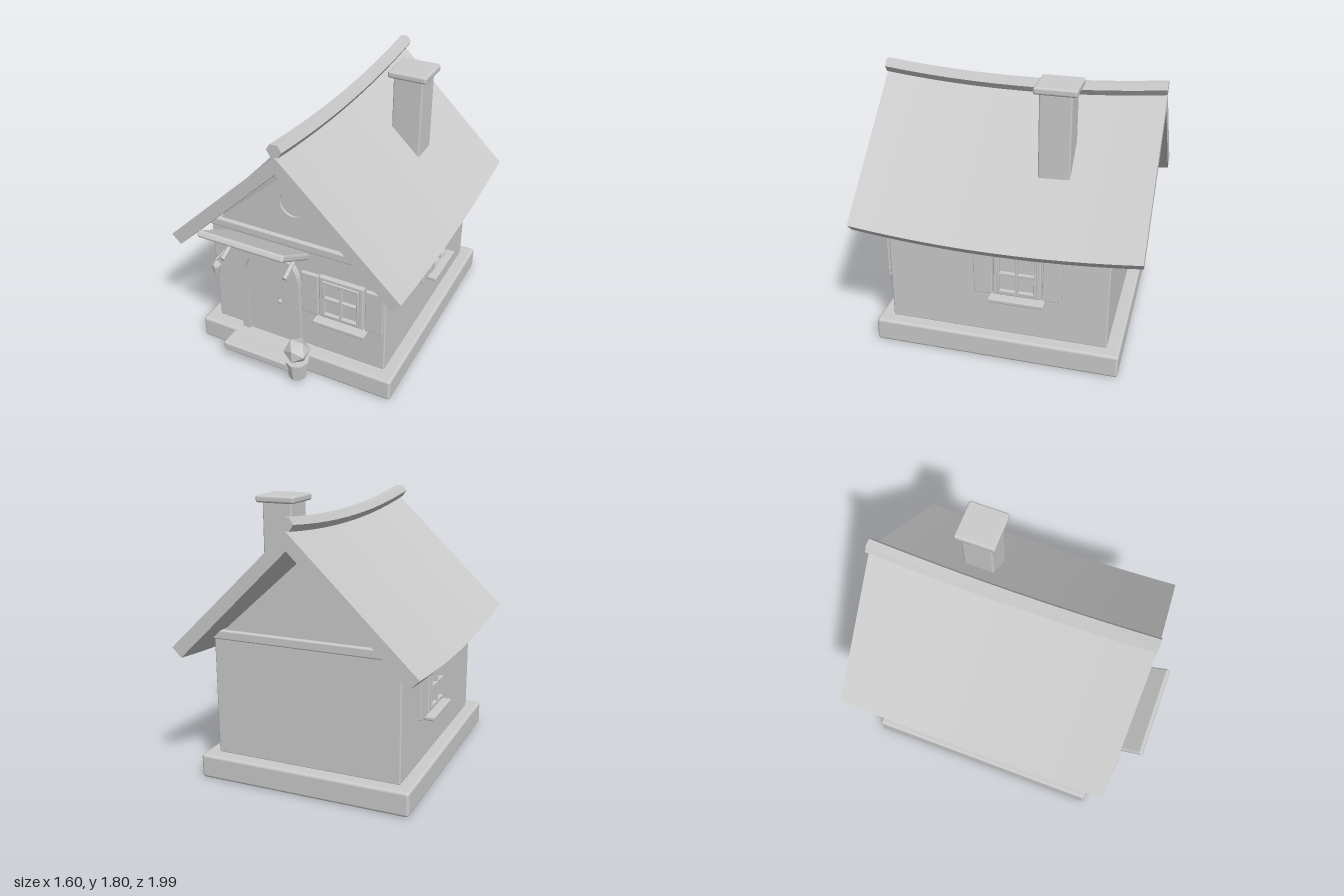
import * as THREE from 'three';
import { RoundedBoxGeometry } from 'three/addons/geometries/RoundedBoxGeometry.js';
import { toCreasedNormals } from 'three/addons/utils/BufferGeometryUtils.js';

const smooth = new THREE.MeshStandardMaterial({ color: 0xcccccc });
const flat = new THREE.MeshStandardMaterial({ color: 0xcccccc, flatShading: true });

function add(parent, name, geometry, x = 0, y = 0, z = 0, material = smooth) {
  const mesh = new THREE.Mesh(geometry, material);
  mesh.name = name;
  mesh.position.set(x, y, z);
  parent.add(mesh);
  return mesh;
}

// Rounded box given by its limits on each axis
function box(parent, name, [x0, x1], [y0, y1], [z0, z1], r = 0.008) {
  const g = new RoundedBoxGeometry(x1 - x0, y1 - y0, z1 - z0, 2, r);
  return add(parent, name, g, (x0 + x1) / 2, (y0 + y1) / 2, (z0 + z1) / 2);
}

function polygon(points) {
  return new THREE.Shape(points.map(([x, y]) => new THREE.Vector2(x, y)));
}

function extrude(shape, depth, steps = 1, curveSegments = 4) {
  return new THREE.ExtrudeGeometry(shape, { depth, steps, curveSegments, bevelEnabled: false });
}

// Roof parts run from back to front and sag in the middle
function sagging(points) {
  const g = extrude(polygon(points), 1.85, 12);
  g.translate(0, 0, -1);
  const p = g.attributes.position;
  for (let i = 0; i < p.count; i++) {
    const t = (p.getZ(i) + 0.075) / 0.925;
    p.setY(i, p.getY(i) + 0.055 * t * t);
  }
  return toCreasedNormals(g, 0.4);
}

// Cylinder between two points
function rod(parent, name, a, b, radius, sides = 8) {
  const from = new THREE.Vector3(...a), to = new THREE.Vector3(...b);
  const dir = to.clone().sub(from);
  const mesh = add(parent, name, new THREE.CylinderGeometry(radius, radius, dir.length(), sides));
  mesh.position.copy(from).add(to).multiplyScalar(0.5);
  mesh.quaternion.setFromUnitVectors(new THREE.Vector3(0, 1, 0), dir.normalize());
  return mesh;
}

// Arched outline standing on y = 0, narrowed by the half width
function arch(half, spring, Path = THREE.Shape) {
  const s = new Path();
  s.moveTo(-half, 0);
  s.lineTo(half, 0);
  s.lineTo(half, spring);
  s.absarc(0, spring, half, 0, Math.PI, false);
  s.lineTo(-half, 0);
  return s;
}

// Window facing +z with its origin on the wall, at the frame's centre
function makeWindow(name) {
  const g = new THREE.Group();
  g.name = name;
  for (const s of [-1, 1]) {
    const span = (a, b) => (s > 0 ? [a, b] : [-b, -a]);
    box(g, 'frameSide', span(0.122, 0.155), [-0.16, 0.16], [-0.01, 0.03]);
    box(g, 'frameRail', [-0.155, 0.155], span(0.13, 0.16), [-0.01, 0.03]);
    box(g, 'sashSide', span(0.112, 0.126), [-0.14, 0.135], [0, 0.04], 0.003);
    box(g, 'sashRail', [-0.125, 0.125], span(0.122, 0.136), [0, 0.04], 0.003);
    box(g, 'shutter', span(0.165, 0.285), [-0.165, 0.148], [-0.01, 0.024], 0.005);
  }
  box(g, 'pane', [-0.125, 0.125], [-0.135, 0.135], [-0.005, 0.015], 0.002);
  box(g, 'uprightBar', [-0.009, 0.009], [-0.13, 0.13], [0, 0.04], 0.003);
  box(g, 'crossBar', [-0.115, 0.115], [-0.009, 0.009], [0, 0.038], 0.003);
  box(g, 'sill', [-0.182, 0.182], [-0.198, -0.17], [-0.01, 0.078]);
  return g;
}

export function createModel() {
  const house = new THREE.Group();
  house.name = 'cottage';

  // Foundation, walls and step
  box(house, 'foundation', [-0.71, 0.71], [0, 0.16], [-0.885, 0.745], 0.02);
  box(house, 'walls', [-0.625, 0.625], [0.155, 0.935], [-0.797, 0.652], 0.01);
  box(house, 'doorStep', [-0.45, 0.06], [0.093, 0.157], [0.6, 0.89], 0.015);

  // Gables with a beam below each
  const gable = extrude(polygon([[-0.62, 0.93], [0.62, 0.93], [0, 1.485]]), 1.43);
  add(house, 'gable', gable, 0, 0, -0.787);
  box(house, 'frontBeam', [-0.635, 0.635], [0.93, 0.99], [0.6, 0.67], 0.01);
  box(house, 'backBeam', [-0.635, 0.635], [0.93, 0.99], [-0.815, -0.745], 0.01);

  // Round attic window
  const ring = new THREE.Shape().absarc(0, 0, 0.125, 0, Math.PI * 2);
  ring.holes.push(new THREE.Path().absarc(0, 0, 0.09, 0, Math.PI * 2));
  add(house, 'atticWindowRing', extrude(ring, 0.04, 1, 12), 0, 1.255, 0.63);
  const disc = add(house, 'atticWindowPane', new THREE.CylinderGeometry(0.092, 0.092, 0.03, 12), 0, 1.255, 0.64);
  disc.rotation.x = Math.PI / 2;

  // Roof and hexagonal ridge
  add(house, 'roof', sagging([
    [0, 1.505], [0.738, 0.79], [0.8, 0.85], [0, 1.615], [-0.8, 0.85], [-0.738, 0.79],
  ]));
  const hex = [];
  for (let i = 0; i < 6; i++) {
    hex.push([0.05 * Math.cos(i * Math.PI / 3), 1.655 + 0.046 * Math.sin(i * Math.PI / 3)]);
  }
  add(house, 'ridge', sagging(hex));

  // Chimney
  box(house, 'chimney', [0.225, 0.43], [1.2, 1.765], [-0.487, -0.283], 0.012);
  box(house, 'chimneyCap', [0.195, 0.462], [1.753, 1.8], [-0.52, -0.252], 0.015);

  // Arched door
  const surround = arch(0.224, 0.5);
  surround.holes.push(arch(0.17, 0.5, THREE.Path));
  add(house, 'doorFrame', toCreasedNormals(extrude(surround, 0.055, 1, 8), 0.3), -0.19, 0.16, 0.64);
  add(house, 'door', toCreasedNormals(extrude(arch(0.172, 0.5), 0.035, 1, 8), 0.3), -0.19, 0.16, 0.64);
  add(house, 'doorKnob', new THREE.SphereGeometry(0.015, 8, 6), -0.107, 0.49, 0.695);

  // Awning on two struts
  const awning = add(house, 'awning', new RoundedBoxGeometry(0.6, 0.045, 0.36, 2, 0.015), -0.19, 1.0, 0.832);
  awning.rotation.x = -0.54;
  for (const x of [-0.415, 0.035]) {
    rod(house, 'awningStrut', [x, 0.835, 0.86], [x, 0.92, 0.68], 0.015);
  }

  // Windows on the front and both sides
  const front = makeWindow('frontWindow');
  front.position.set(0.33, 0.623, 0.652);
  house.add(front);
  for (const s of [-1, 1]) {
    const side = makeWindow(s > 0 ? 'leftWindow' : 'rightWindow');
    side.position.set(0.625 * s, 0.623, -0.212);
    side.rotation.y = s * Math.PI / 2;
    house.add(side);
  }

  // Lantern on an arm
  rod(house, 'lanternArm', [-0.505, 0.77, 0.64], [-0.505, 0.77, 0.81], 0.008, 6);
  const lamp = [[0, -0.05], [0.016, -0.046], [0.03, 0.01], [0.03, 0.022], [0.01, 0.05], [0, 0.05]];
  add(house, 'lantern', new THREE.LatheGeometry(lamp.map(([x, y]) => new THREE.Vector2(x, y)), 6),
    -0.505, 0.708, 0.805, flat);

  // Potted plant
  add(house, 'pot', new THREE.CylinderGeometry(0.08, 0.06, 0.135, 8), 0.088, 0.107, 0.832, flat);
  add(house, 'shrub', new THREE.IcosahedronGeometry(0.088, 0), 0.088, 0.253, 0.832, flat);

  return house;
}
